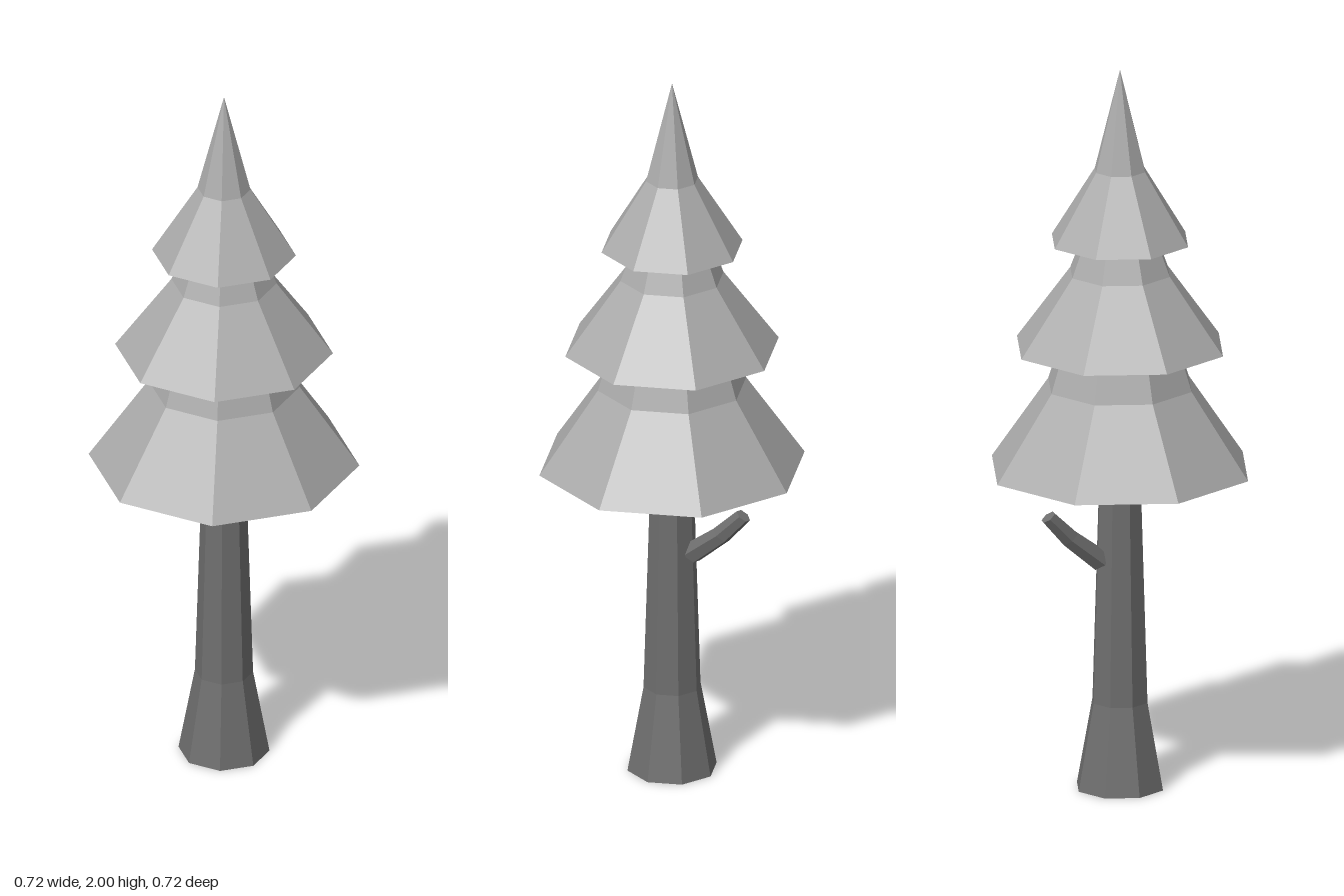
import * as THREE from 'three';

const SIDES = 8;
const TURN = -0.144; // shared twist of all octagonal rings

const makeMaterial = (color) => new THREE.MeshStandardMaterial({
  color, flatShading: true, side: THREE.DoubleSide,
});
const bark = makeMaterial(0x6e6e6e);
const needles = makeMaterial(0xababab);

function addMesh(group, name, geometry, material) {
  const mesh = new THREE.Mesh(geometry, material);
  mesh.name = name;
  group.add(mesh);
}

// Octagonal solid turned from [radius, height] pairs
function turned(profile) {
  const points = profile.map(([r, y]) => new THREE.Vector2(r, y));
  return new THREE.LatheGeometry(points, SIDES, TURN);
}

// Tapered stub whose rings follow a bent centre line and lean outwards
function branchGeometry() {
  const centres = [[-0.035, 0.635, -0.042], [-0.096, 0.713, -0.118], [-0.14, 0.782, -0.168]];
  const geometry = new THREE.CylinderGeometry(0.018, 0.027, 2, 6, 2);
  const pos = geometry.attributes.position;
  for (let i = 0; i < pos.count; i++) {
    const [cx, cy, cz] = centres[Math.round(pos.getY(i) + 1)];
    const x = pos.getX(i), z = pos.getZ(i);
    const lean = 0.7 * (0.64 * x + 0.77 * z);
    pos.setXYZ(i, cx + x, cy + lean, cz + z);
  }
  geometry.computeVertexNormals();
  return geometry;
}

export function createModel() {
  const tree = new THREE.Group();
  tree.name = 'pineTree';

  // Trunk flares at the foot and is open underneath
  addMesh(tree, 'trunk', turned([[0.122, 0], [0.078, 0.24], [0.055, 0.985]]), bark);
  addMesh(tree, 'branchStub', branchGeometry(), bark);

  // Foliage tiers: hollowed underside, wide skirt, steeper upper part
  const tiers = [
    ['lowerFoliage', [[0, 0.99], [0.363, 0.887], [0.203, 1.12], [0.147, 1.3]]],
    ['middleFoliage', [[0, 1.335], [0.292, 1.228], [0.141, 1.435], [0.078, 1.6]]],
    ['upperFoliage', [[0, 1.62], [0.193, 1.523], [0.071, 1.72], [0, 2]]],
  ];
  for (const [name, profile] of tiers) addMesh(tree, name, turned(profile), needles);

  return tree;
}
